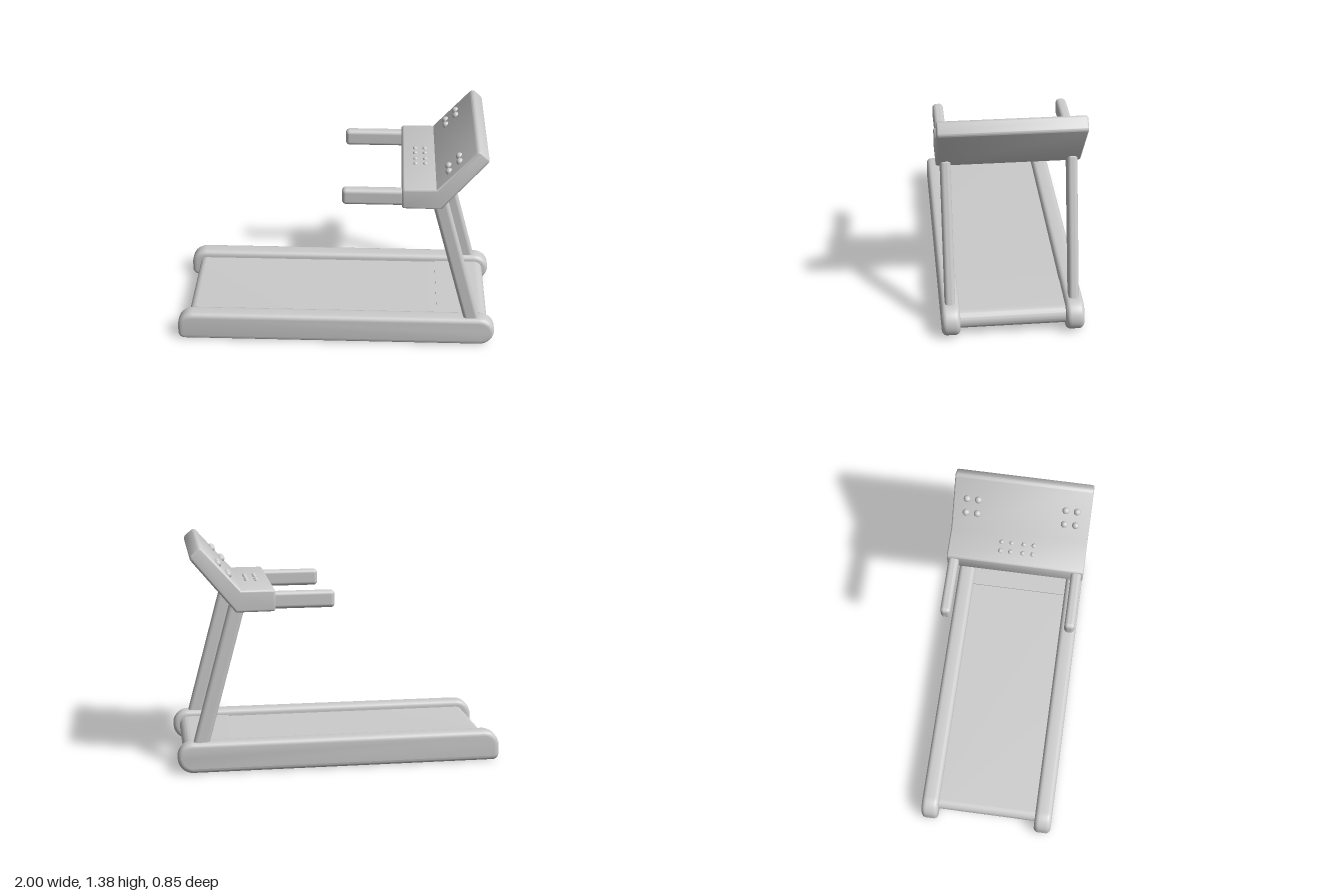
import * as THREE from 'three';
import { toCreasedNormals } from 'three/addons/utils/BufferGeometryUtils.js';
import { RoundedBoxGeometry } from 'three/addons/geometries/RoundedBoxGeometry.js';

const material = new THREE.MeshStandardMaterial({ color: 0xcccccc });

// Closed outline from [x, y, cornerRadius] points, corners filleted
function roundedShape(points) {
  const shape = new THREE.Shape();
  const n = points.length;
  const toward = (a, b, d) => {
    const len = Math.hypot(b[0] - a[0], b[1] - a[1]);
    return [a[0] + ((b[0] - a[0]) / len) * d, a[1] + ((b[1] - a[1]) / len) * d];
  };
  points.forEach((p, i) => {
    const prev = points[(i + n - 1) % n], next = points[(i + 1) % n], r = p[2];
    const start = toward(p, prev, r);
    if (i === 0) shape.moveTo(...start);
    else shape.lineTo(...start);
    if (r > 0) {
      shape.bezierCurveTo(...toward(p, prev, r * 0.448), ...toward(p, next, r * 0.448), ...toward(p, next, r));
    }
  });
  shape.closePath();
  return shape;
}

// Side profile extruded across z, centred on z = 0
function profile(points, width, bevel = 0) {
  const geometry = new THREE.ExtrudeGeometry(roundedShape(points), {
    depth: width - 2 * bevel,
    bevelEnabled: bevel > 0,
    bevelThickness: bevel,
    bevelSize: bevel,
    bevelOffset: -bevel,
    bevelSegments: 5,
    curveSegments: 12,
  });
  geometry.translate(0, 0, -width / 2 + bevel);
  return toCreasedNormals(geometry, 0.6);
}

export function createModel() {
  const model = new THREE.Group();
  model.name = 'treadmill';
  const add = (name, geometry, x = 0, y = 0, z = 0) => {
    const mesh = new THREE.Mesh(geometry, material);
    mesh.name = name;
    mesh.position.set(x, y, z);
    model.add(mesh);
    return mesh;
  };

  // Running belt and the slightly thicker motor cover ahead of it
  add('runningBelt', profile([
    [-0.94, 0.047, 0.045], [0.7, 0.047, 0], [0.7, 0.147, 0], [-0.94, 0.147, 0.045],
  ], 0.68));
  add('motorCover', profile([
    [0.64, 0.04, 0], [0.96, 0.04, 0.057], [0.96, 0.155, 0.057], [0.64, 0.155, 0],
  ], 0.68));

  // Side rails, uprights and handles, mirrored
  const railGeometry = profile([
    [-1, 0, 0.04], [1, 0, 0.0945], [1, 0.19, 0.0945], [-1, 0.19, 0.1],
  ], 0.11, 0.03);
  const bottom = new THREE.Vector2(0.875, 0.1), top = new THREE.Vector2(0.622, 1.035);
  const postGeometry = new RoundedBoxGeometry(0.095, bottom.distanceTo(top), 0.062, 5, 0.024);
  const handleGeometry = new RoundedBoxGeometry(0.42, 0.104, 0.064, 5, 0.024);
  for (const [side, s] of [['left', 1], ['right', -1]]) {
    add(side + 'Rail', railGeometry, 0, 0, s * 0.37);
    const post = add(side + 'Upright', postGeometry,
      (bottom.x + top.x) / 2, (bottom.y + top.y) / 2, s * 0.37);
    post.rotation.z = Math.atan2(bottom.x - top.x, top.y - bottom.y);
    add(side + 'Handle', handleGeometry, 0.25, 1.053, s * 0.381);
  }

  // Console: flat shelf with a sloping display panel
  add('console', profile([
    [0.397, 0.99, 0.018], [0.633, 0.988, 0], [0.91, 1.322, 0.025],
    [0.838, 1.388, 0.025], [0.6, 1.122, 0], [0.397, 1.122, 0.018],
  ], 0.85, 0.014));

  // Small buttons on the shelf
  const shelfButton = new THREE.SphereGeometry(0.015, 16, 10);
  for (const x of [0.48, 0.54]) {
    for (const z of [-0.1, -0.038, 0.038, 0.1]) add('shelfButton', shelfButton, x, 1.12, z);
  }

  // Larger knobs in two clusters on the display panel
  const panelKnob = new THREE.SphereGeometry(0.022, 18, 12);
  for (const x of [0.673, 0.733]) {
    const y = 1.122 + (x - 0.6) * (0.266 / 0.238);
    for (const z of [-0.34, -0.27, 0.27, 0.34]) add('panelKnob', panelKnob, x, y, z);
  }

  return model;
}
